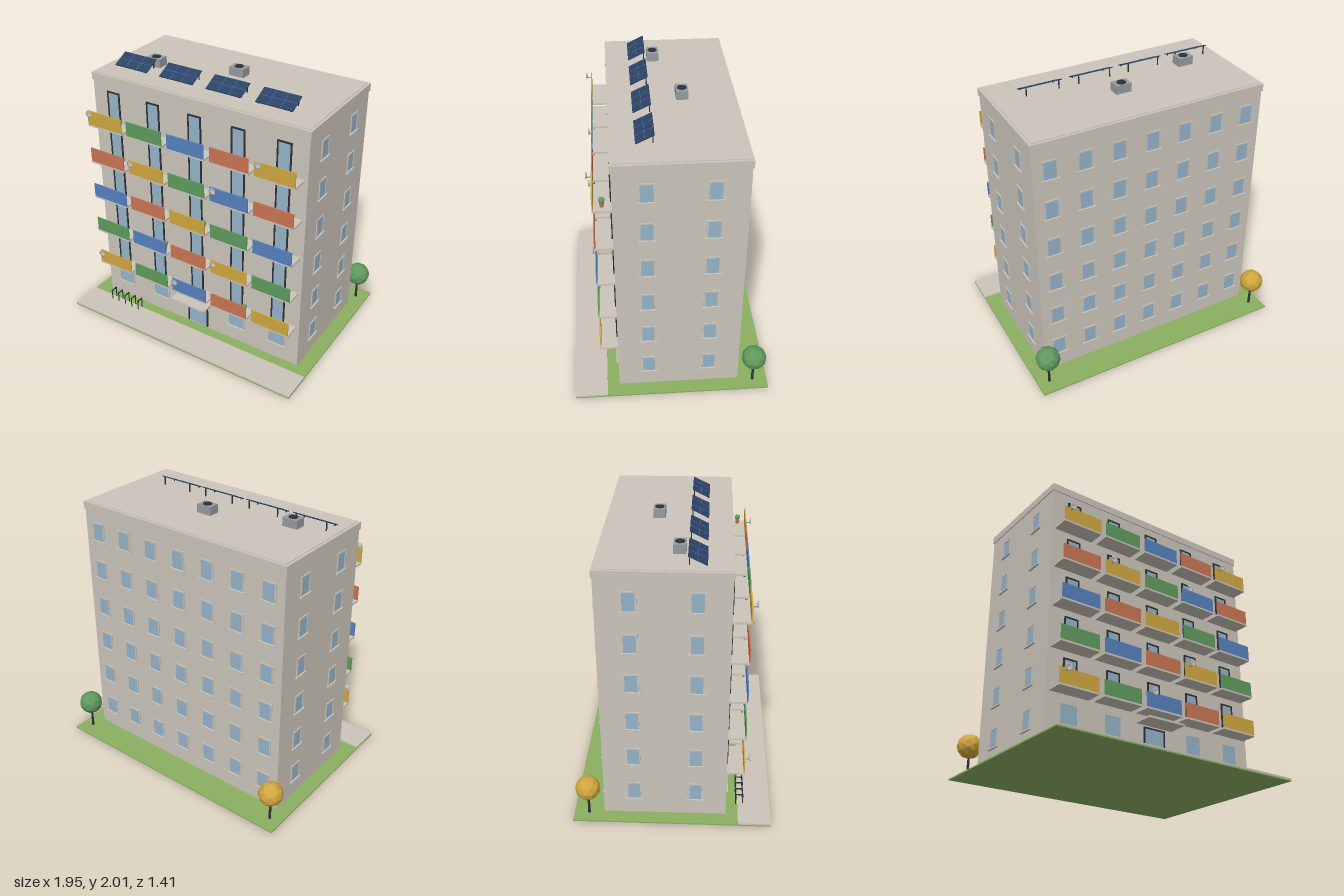
import * as THREE from 'three';

const mat = (name, color) => new THREE.MeshStandardMaterial({ name, color });

export function createModel() {
  const M = {
    wall: mat('wallBeige', 0xcac4ba), glass: mat('windowGlass', 0x94b2c8), dark: mat('darkFrame', 0x2e3036),
    yellow: mat('yellow', 0xcfa640), green: mat('green', 0x5f9a5e), blue: mat('blue', 0x5680be),
    red: mat('terracotta', 0xc97452), grass: mat('grass', 0x8aae60), solar: mat('solarNavy', 0x2c4266),
    metal: mat('metalGrey', 0x969a9e),
  };
  M.green.flatShading = M.yellow.flatShading = true;
  const model = new THREE.Group();
  model.name = 'apartmentBlock';

  const add = (parent, name, geo, m, x = 0, y = 0, z = 0) => {
    const mesh = new THREE.Mesh(geo, m);
    mesh.name = name;
    mesh.position.set(x, y, z);
    parent.add(mesh);
    return mesh;
  };
  const group = (name, x = 0, y = 0, z = 0, ry = 0) => {
    const g = new THREE.Group();
    g.name = name;
    g.position.set(x, y, z);
    g.rotation.y = ry;
    model.add(g);
    return g;
  };
  // Box given by its lower and upper limits
  const span = (parent, name, m, x0, x1, y0, y1, z0, z1) =>
    add(parent, name, new THREE.BoxGeometry(x1 - x0, y1 - y0, z1 - z0), m,
      (x0 + x1) / 2, (y0 + y1) / 2, (z0 + z1) / 2);

  const FRONT = 0.383, BACK = -0.488, SIDE = 0.868, PITCH = 0.302;
  const columns = [-0.692, -0.347, 0, 0.347, 0.692];

  // Ground and building shell
  span(model, 'lawn', M.grass, -0.975, 0.975, 0, 0.01, -0.703, 0.703);
  span(model, 'pavement', M.wall, -0.975, 0.975, 0.01, 0.022, 0.47, 0.703);
  span(model, 'walls', M.wall, -SIDE, SIDE, 0.01, 1.88, BACK, FRONT);
  span(model, 'cornice', M.wall, -0.875, 0.875, 1.875, 1.93, BACK - 0.007, FRONT + 0.007);
  span(model, 'roofSlab', M.wall, -0.855, 0.855, 1.93, 1.934, BACK + 0.013, FRONT - 0.013);

  // Window with raised surround and sill, facing +z, origin at the sill
  const addWindow = (x, y, z, ry, w, h) => {
    const g = group('window', x, y, z, ry);
    const b = 0.01, p = 0.007;
    span(g, 'surroundTop', M.wall, -w / 2 - b, w / 2 + b, h, h + b, 0, p);
    for (const s of [-1, 1])
      add(g, 'surroundSide', new THREE.BoxGeometry(b, h, p), M.wall, s * (w + b) / 2, h / 2, p / 2);
    span(g, 'glass', M.glass, -w / 2, w / 2, 0, h, 0, 0.003);
    span(g, 'sill', M.wall, -w / 2 - 0.019, w / 2 + 0.019, -0.005, 0.005, 0, 0.015);
  };
  for (let f = 0; f < 6; f++) {
    const y = 0.138 + f * PITCH;
    for (let i = -3; i <= 3; i++) addWindow(i * 0.249, y, BACK, Math.PI, 0.09, 0.135);
    for (const s of [-1, 1])
      for (const z of [0.165, -0.268]) addWindow(s * SIDE, y, z, s * Math.PI / 2, 0.083, 0.135);
  }
  for (const x of columns) if (x !== 0) addWindow(x, 0.138, FRONT, 0, 0.128, 0.147);

  // Glazed door with a dark frame
  const addDoor = (name, x, y, w, h) => {
    const g = group(name, x, y, FRONT), b = 0.01;
    span(g, 'doorGlass', M.glass, -w / 2 + b, w / 2 - b, 0, h - b, 0, 0.004);
    span(g, 'lintel', M.dark, -w / 2, w / 2, h - b, h, 0, 0.009);
    for (const s of [-1, 1])
      add(g, 'jamb', new THREE.BoxGeometry(b, h - b, 0.009), M.dark, s * (w - b) / 2, (h - b) / 2, 0.0045);
  };
  addDoor('entranceDoor', 0, 0.022, 0.18, 0.25);
  span(model, 'entranceCanopy', M.wall, -0.152, 0.152, 0.285, 0.3, FRONT, 0.53);

  // Balconies, with panel colours stepping along each floor
  const panelMats = [M.yellow, M.green, M.blue, M.red];
  const dishes = ['0,0', '0,2', '1,3', '3,1', '3,3', '4,0', '4,4'];
  const plants = ['0,3', '1,1', '2,2', '4,4'];
  const dishProfile = [[0.001, 0], [0.018, 0.004], [0.028, 0.013], [0.018, 0.008], [0.001, 0.004]]
    .map(([x, y]) => new THREE.Vector2(x, y));
  for (let f = 0; f < 5; f++) {
    const y = 0.355 + f * PITCH;
    columns.forEach((x, i) => {
      addDoor('balconyDoor', x, y + 0.012, 0.108, 0.24);
      const g = group('balcony', x, y, 0);
      span(g, 'balconySlab', M.wall, -0.152, 0.152, 0, 0.014, FRONT, 0.508);
      span(g, 'balconyPanel', panelMats[(f + i) % 4], -0.15, 0.15, 0.014, 0.122, 0.5, 0.508);
      const key = f + ',' + i;
      if (dishes.includes(key)) {
        span(g, 'dishArm', M.metal, -0.108, -0.102, 0.1, 0.106, 0.505, 0.535);
        const dish = add(g, 'dish', new THREE.LatheGeometry(dishProfile, 8), M.wall, -0.105, 0.118, 0.531);
        dish.material.side = THREE.DoubleSide;
        dish.rotation.x = Math.PI / 2;
      }
      if (plants.includes(key)) {
        add(g, 'plantPot', new THREE.CylinderGeometry(0.016, 0.012, 0.036, 8), M.red, 0.1, 0.032, 0.445);
        add(g, 'plantLeaves', new THREE.IcosahedronGeometry(0.021, 1), M.green, 0.1, 0.065, 0.445);
      }
    });
  }

  // Tilted solar panels on the roof
  for (let i = 0; i < 4; i++) {
    const g = group('solarArray', -0.655 + i * 0.389, 1.972, 0.16);
    const tilt = new THREE.Group();
    tilt.name = 'solarPanel';
    tilt.rotation.x = 0.46;
    g.add(tilt);
    add(tilt, 'cells', new THREE.BoxGeometry(0.28, 0.007, 0.134), M.solar);
    for (const s of [-1, 1]) {
      add(tilt, 'cellDivider', new THREE.BoxGeometry(0.002, 0.001, 0.134), M.blue, s * 0.0467, 0.004, 0);
      add(g, 'rearLeg', new THREE.BoxGeometry(0.007, 0.064, 0.007), M.dark, s * 0.12, -0.008, -0.052);
      add(g, 'frontLeg', new THREE.BoxGeometry(0.007, 0.014, 0.007), M.dark, s * 0.12, -0.034, 0.052);
    }
    add(tilt, 'cellDivider', new THREE.BoxGeometry(0.28, 0.001, 0.002), M.blue, 0, 0.004, 0);
  }

  // Rooftop fan units
  for (const [x, z] of [[-0.557, 0.042], [0.038, -0.123]]) {
    const g = group('roofUnit', x, 1.93, z);
    span(g, 'unitCase', M.metal, -0.058, 0.058, 0, 0.066, -0.042, 0.042);
    add(g, 'unitFan', new THREE.CylinderGeometry(0.033, 0.033, 0.004, 12), M.dark, 0, 0.068, 0);
  }

  // Trees at the rear corners
  for (const [x, m] of [[-0.887, M.yellow], [0.887, M.green]]) {
    const g = group('tree', x, 0.01, -0.597);
    add(g, 'trunk', new THREE.CylinderGeometry(0.008, 0.01, 0.16, 7), M.dark, 0, 0.08, 0);
    add(g, 'crown', new THREE.IcosahedronGeometry(0.09, 1), m, 0, 0.226, 0);
  }

  // Bicycle stands
  for (let i = 0; i < 5; i++) {
    const g = group('bikeStand', -0.76 + i * 0.065, 0, 0.483);
    for (const s of [-1, 1])
      add(g, 'standPost', new THREE.CylinderGeometry(0.004, 0.004, 0.09, 6), M.dark, 0, 0.055, s * 0.025);
    add(g, 'standBar', new THREE.BoxGeometry(0.007, 0.007, 0.057), M.dark, 0, 0.1, 0);
  }
  return model;
}
